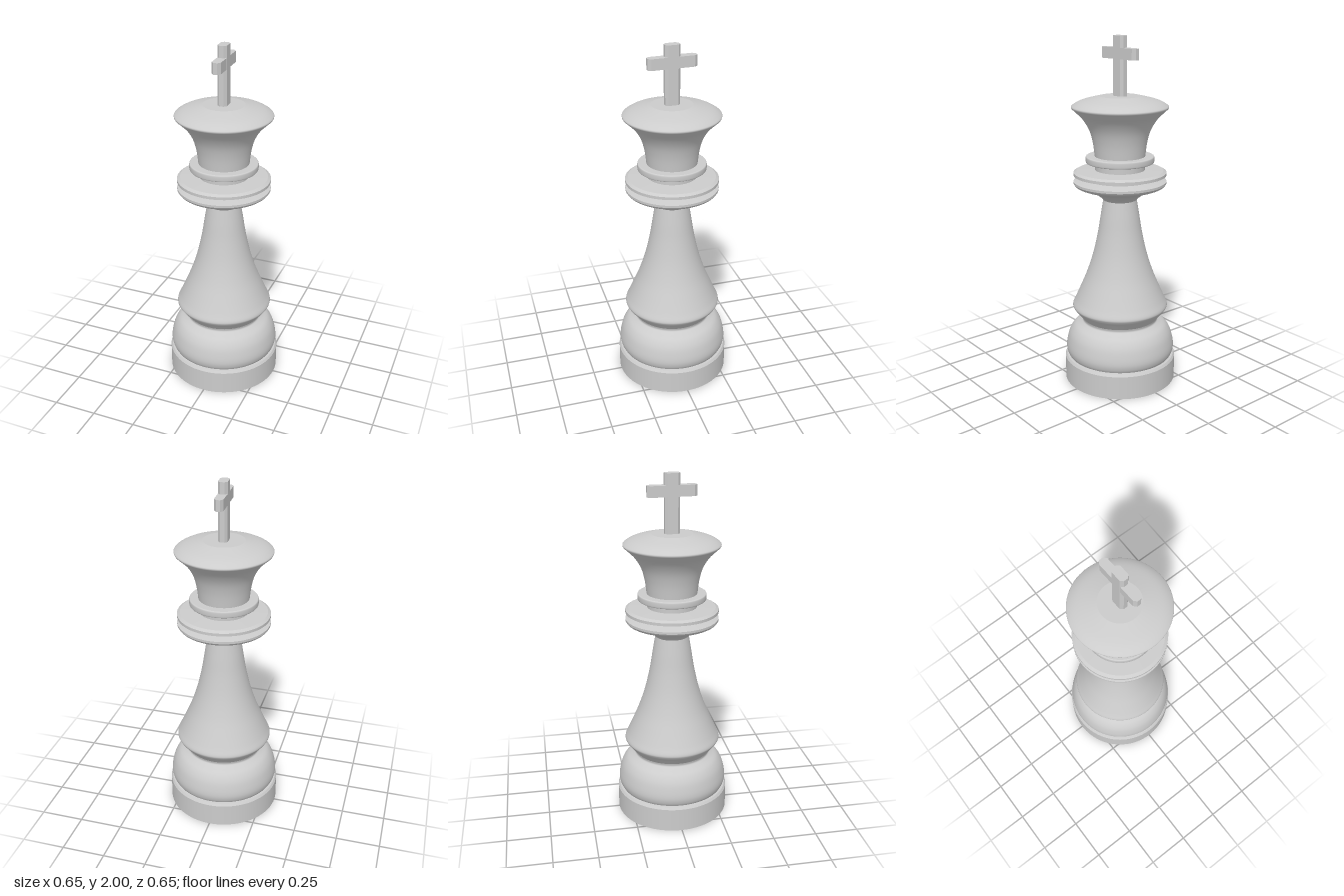
import * as THREE from 'three';

const material = new THREE.MeshStandardMaterial({ color: 0xcccccc });

// One turned part: each section is a smooth run of [radius, y], with crisp edges between sections.
function turned(name, sections) {
  const part = new THREE.Group();
  part.name = name;
  for (const section of sections) {
    let points = section.map(([r, y]) => new THREE.Vector2(r, y));
    if (points.length > 2) {
      points = new THREE.SplineCurve(points).getPoints((points.length - 1) * 5);
    }
    const mesh = new THREE.Mesh(new THREE.LatheGeometry(points, 96), material);
    mesh.name = name + 'Surface';
    part.add(mesh);
  }
  return part;
}

// Upright prism with a chamfered rectangular plan.
function chamferedBar(name, halfX, halfZ, chamferX, chamferZ, bottom, top) {
  const ix = halfX - chamferX, iz = halfZ - chamferZ;
  const plan = new THREE.Shape([
    [halfX, -iz], [halfX, iz], [ix, halfZ], [-ix, halfZ],
    [-halfX, iz], [-halfX, -iz], [-ix, -halfZ], [ix, -halfZ],
  ].map(([x, y]) => new THREE.Vector2(x, y)));
  const geometry = new THREE.ExtrudeGeometry(plan, { depth: top - bottom, bevelEnabled: false });
  geometry.rotateX(-Math.PI / 2);
  geometry.translate(0, bottom, 0);
  const mesh = new THREE.Mesh(geometry, material);
  mesh.name = name;
  return mesh;
}

export function createModel() {
  const model = new THREE.Group();
  model.name = 'chessKing';

  // Drum base with a narrow chamfer
  model.add(turned('base', [
    [[0, 0], [0.325, 0]],
    [[0.325, 0], [0.325, 0.137]],
    [[0.325, 0.137], [0.316, 0.15]],
    [[0.316, 0.15], [0.3, 0.152]],
  ]));

  // Rounded cushion and waist
  model.add(turned('cushion', [
    [[0.303, 0.152], [0.312, 0.17], [0.317, 0.2], [0.312, 0.24], [0.297, 0.29], [0.27, 0.33], [0.235, 0.352], [0.22, 0.364], [0.222, 0.38]],
  ]));

  // Flared skirt narrowing into the stem
  model.add(turned('stem', [
    [[0.222, 0.38], [0.25, 0.415], [0.27, 0.44], [0.276, 0.46], [0.258, 0.5], [0.227, 0.57], [0.19, 0.66], [0.155, 0.77], [0.128, 0.89], [0.11, 1.0], [0.095, 1.09]],
  ]));

  // Double collar with a groove between its two rims
  model.add(turned('collar', [
    [[0.095, 1.09], [0.112, 1.108], [0.155, 1.137], [0.22, 1.16], [0.25, 1.173], [0.262, 1.187]],
    [[0.262, 1.187], [0.262, 1.2]],
    [[0.262, 1.2], [0.195, 1.213]],
    [[0.195, 1.213], [0.195, 1.221]],
    [[0.195, 1.221], [0.262, 1.234]],
    [[0.262, 1.234], [0.262, 1.25]],
    [[0.262, 1.25], [0.245, 1.26]],
    [[0.245, 1.26], [0.14, 1.264]],
  ]));

  // Neck and flat ring
  model.add(turned('neckRing', [
    [[0.14, 1.26], [0.14, 1.304]],
    [[0.14, 1.304], [0.186, 1.304]],
    [[0.186, 1.304], [0.192, 1.31], [0.192, 1.336], [0.186, 1.342]],
    [[0.186, 1.342], [0.14, 1.342]],
  ]));

  // Flared crown with a shallow dome and flat centre
  model.add(turned('crown', [
    [[0.142, 1.342], [0.152, 1.42], [0.172, 1.49], [0.208, 1.55], [0.252, 1.595], [0.269, 1.612], [0.262, 1.626], [0.215, 1.65], [0.115, 1.676]],
    [[0.115, 1.676], [0, 1.676]],
  ]));

  // Cross, its arms running front to back with a slight twist
  const cross = new THREE.Group();
  cross.name = 'cross';
  cross.add(chamferedBar('crossUpright', 0.026, 0.042, 0.014, 0.014, 1.66, 2));
  cross.add(chamferedBar('crossArms', 0.025, 0.137, 0.014, 0.017, 1.875, 1.936));
  cross.rotation.y = 0.05;
  model.add(cross);

  return model;
}
